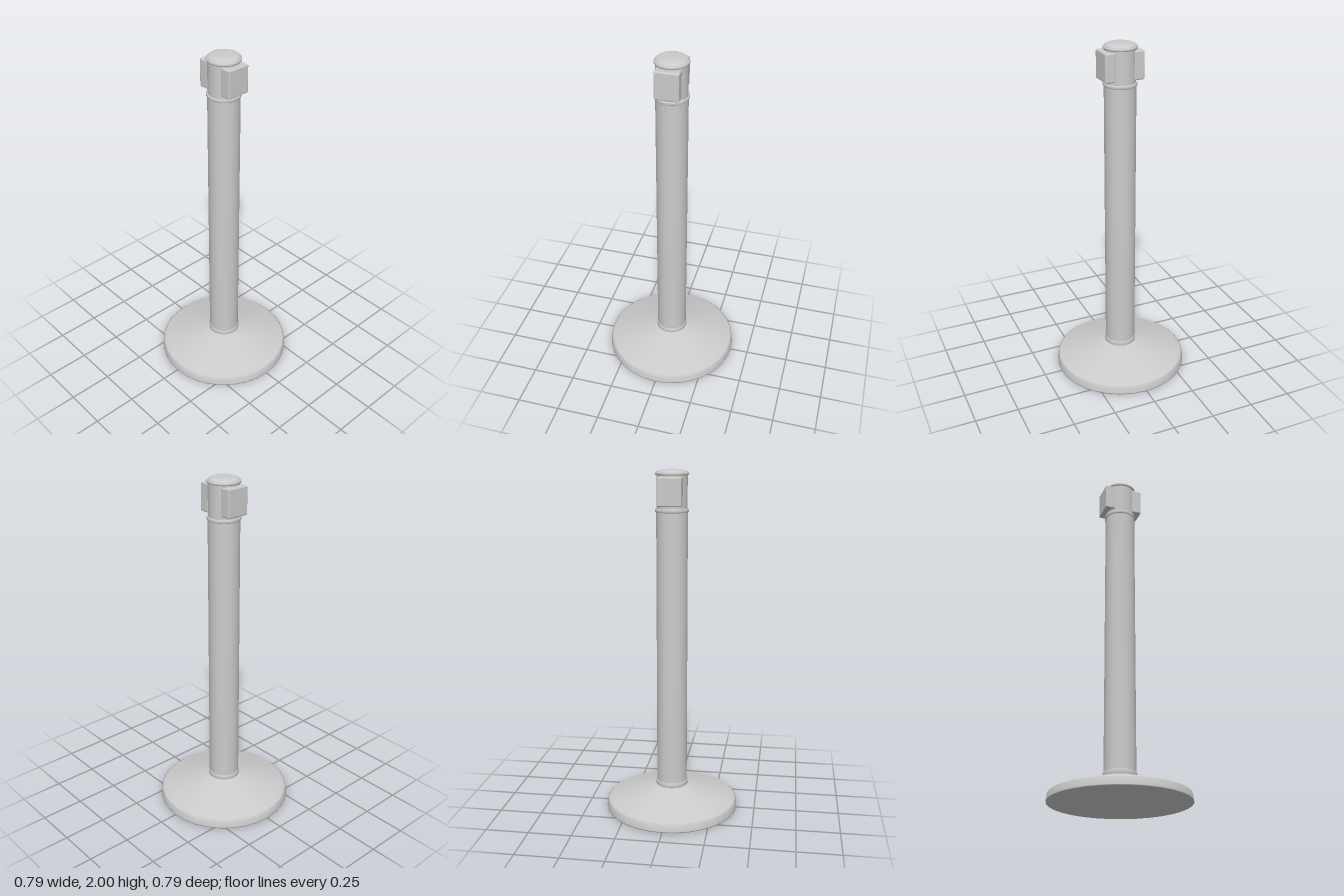
import * as THREE from 'three';
import { RoundedBoxGeometry } from 'three/addons/geometries/RoundedBoxGeometry.js';

const SIDES = 32;
const material = new THREE.MeshStandardMaterial({ color: 0xcccccc });

function addMesh(group, name, geometry) {
  const mesh = new THREE.Mesh(geometry, material);
  mesh.name = name;
  group.add(mesh);
  return mesh;
}

// Revolves [radius, height] pairs, listed from bottom to top
function turned(group, name, profile) {
  const points = profile.map(([r, y]) => new THREE.Vector2(r, y));
  return addMesh(group, name, new THREE.LatheGeometry(points, SIDES));
}

// Ring with softly bevelled edges, closed above and below
function ring(group, name, radius, bottom, top, bevel) {
  const inner = 0.08;
  return turned(group, name, [
    [inner, bottom], [radius - bevel, bottom], [radius, bottom + bevel],
    [radius, top - bevel], [radius - bevel, top], [inner, top],
  ]);
}

export function createModel() {
  const model = new THREE.Group();
  model.name = 'barrierPost';

  // Weighted base: flat underside, short rim, shallow cone
  turned(model, 'base', [
    [0, 0], [0.393, 0], [0.393, 0.006], [0.388, 0.045], [0.378, 0.052],
    [0.1, 0.136], [0.08, 0.14],
  ]);

  // Post and its collars
  const post = new THREE.CylinderGeometry(0.089, 0.089, 1.64, SIDES, 1, true);
  addMesh(model, 'post', post).position.y = 0.95;
  ring(model, 'lowerCollar', 0.094, 0.135, 0.166, 0.005);
  ring(model, 'upperCollar', 0.094, 1.765, 1.785, 0.004);

  // Head that holds the belt clips
  const head = new THREE.CylinderGeometry(0.087, 0.087, 0.2, SIDES, 1, true);
  addMesh(model, 'head', head).position.y = 1.875;
  ring(model, 'capRing', 0.094, 1.968, 1.984, 0.004);

  // Low domed cap
  turned(model, 'cap', [
    [0.088, 1.978], [0.087, 1.985], [0.081, 1.992], [0.068, 1.997],
    [0.04, 1.9995], [0, 2],
  ]);

  // Belt clips on the two sides
  for (const side of [-1, 1]) {
    const clip = new RoundedBoxGeometry(0.062, 0.16, 0.136, 2, 0.008);
    addMesh(model, side > 0 ? 'leftClip' : 'rightClip', clip).position.set(side * 0.084, 1.881, 0);
  }

  return model;
}
